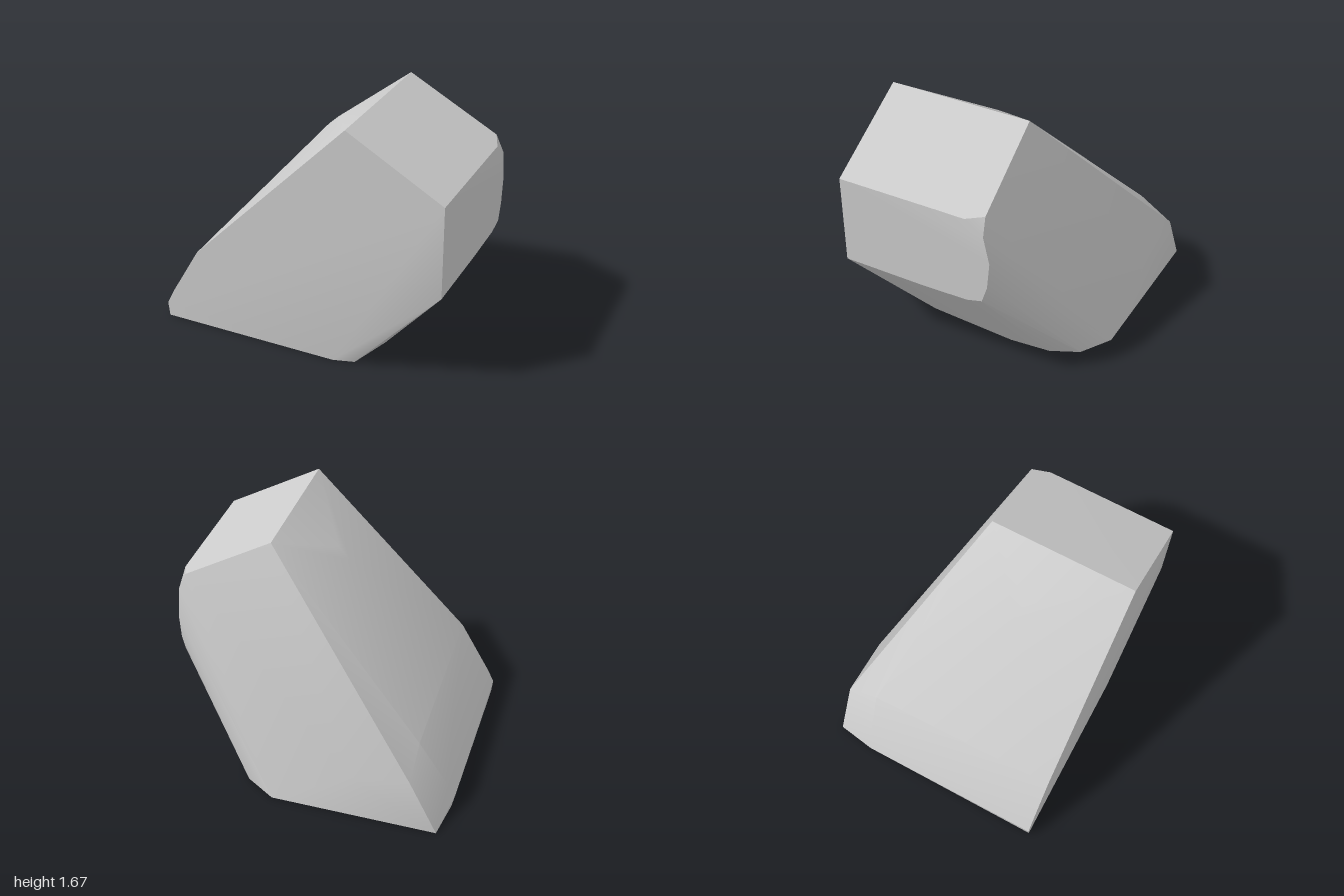
import * as THREE from 'three';
import { ConvexGeometry } from 'three/addons/geometries/ConvexGeometry.js';
import { toCreasedNormals } from 'three/addons/utils/BufferGeometryUtils.js';

const F = 0.78; // half depth

// Flat front face, as x, y
const front = [
  [-0.99, 0], [-1, 0.1], [-0.95, 0.2], [-0.74, 0.56],
  [0.35, 1.67], [1, 1.3], [1, 0.67], [0.26, 0],
];

// Flat base, as x, z
const base = [
  [0.4, 0.74], [0.49, 0.45], [0.525, -0.18], [0.5, -0.46], [0.41, -0.65],
  [0.2, -F], [-0.94, -F], [-0.98, -0.5],
];

// Flat side face at x = 1, as y, z
const side = [
  [1.305, 0.05], [1.305, -0.13], [1.21, -0.26], [1.02, -0.3],
  [0.83, -0.28], [0.71, -0.24], [0.68, -0.13], [0.67, 0.2],
];

// Ridge end, bulge of the slope, and rounded back corners
const shoulders = [
  [0.35, 1.67, -0.225], [0.95, 1.33, -0.25],
  [0.02, 1.455, 0.18], [-0.06, 1.38, 0.16],
  [-0.75, 0.54, -0.55], [-0.95, 0.2, -0.52], [-1, 0.1, -0.5],
  [-0.75, 0.39, -F], [-0.35, 0.33, -F],
];

export function createModel() {
  const stone = new THREE.MeshStandardMaterial({ color: 0xcccccc });
  stone.name = 'stone grey';

  const points = [
    ...front.map(([x, y]) => new THREE.Vector3(x, y, F)),
    ...base.map(([x, z]) => new THREE.Vector3(x, 0, z)),
    ...side.map(([y, z]) => new THREE.Vector3(1, y, z)),
    ...shoulders.map((p) => new THREE.Vector3(...p)),
  ];

  // Convex block with sharp cut faces and softly rounded flanks
  const geometry = toCreasedNormals(new ConvexGeometry(points), THREE.MathUtils.degToRad(30));
  const block = new THREE.Mesh(geometry, stone);
  block.name = 'rockBlock';

  const group = new THREE.Group();
  group.name = 'rock';
  group.add(block);
  return group;
}
